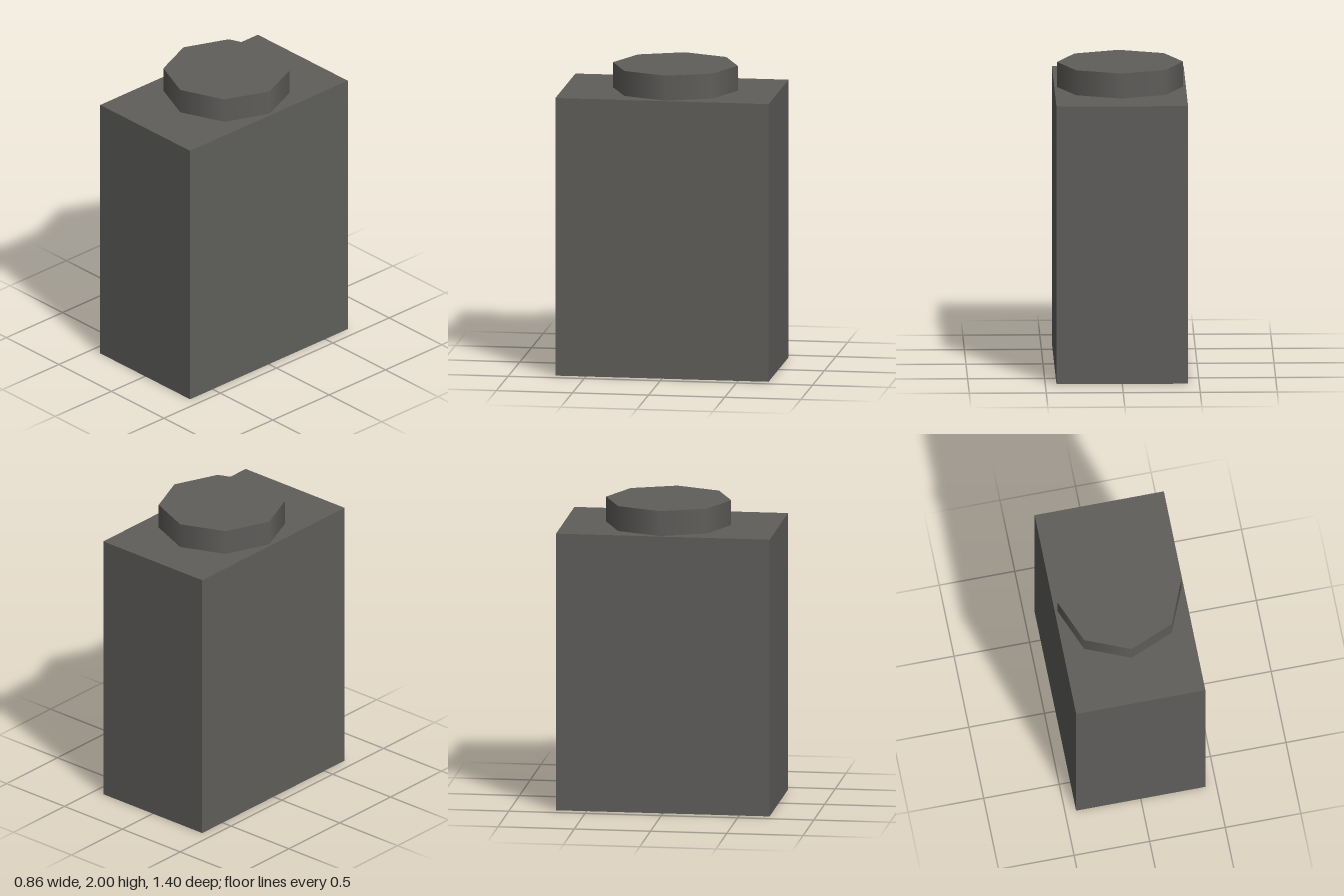
import * as THREE from 'three';

export function createModel() {
  const model = new THREE.Group();
  model.name = 'block';

  const darkGrey = new THREE.MeshStandardMaterial({ color: 0x5f5e5b });
  darkGrey.name = 'dark grey';

  const bodyHeight = 1.835;
  const studHeight = 2 - bodyHeight;

  // Tall rectangular body
  const body = new THREE.Mesh(new THREE.BoxGeometry(0.855, bodyHeight, 1.4), darkGrey);
  body.name = 'body';
  body.position.y = bodyHeight / 2;
  model.add(body);

  // Eight-sided stud with smooth sides, set slightly towards the back
  const stud = new THREE.Mesh(new THREE.CylinderGeometry(0.41, 0.41, studHeight, 8), darkGrey);
  stud.name = 'stud';
  stud.position.set(0, bodyHeight + studHeight / 2, -0.022);
  model.add(stud);

  return model;
}
